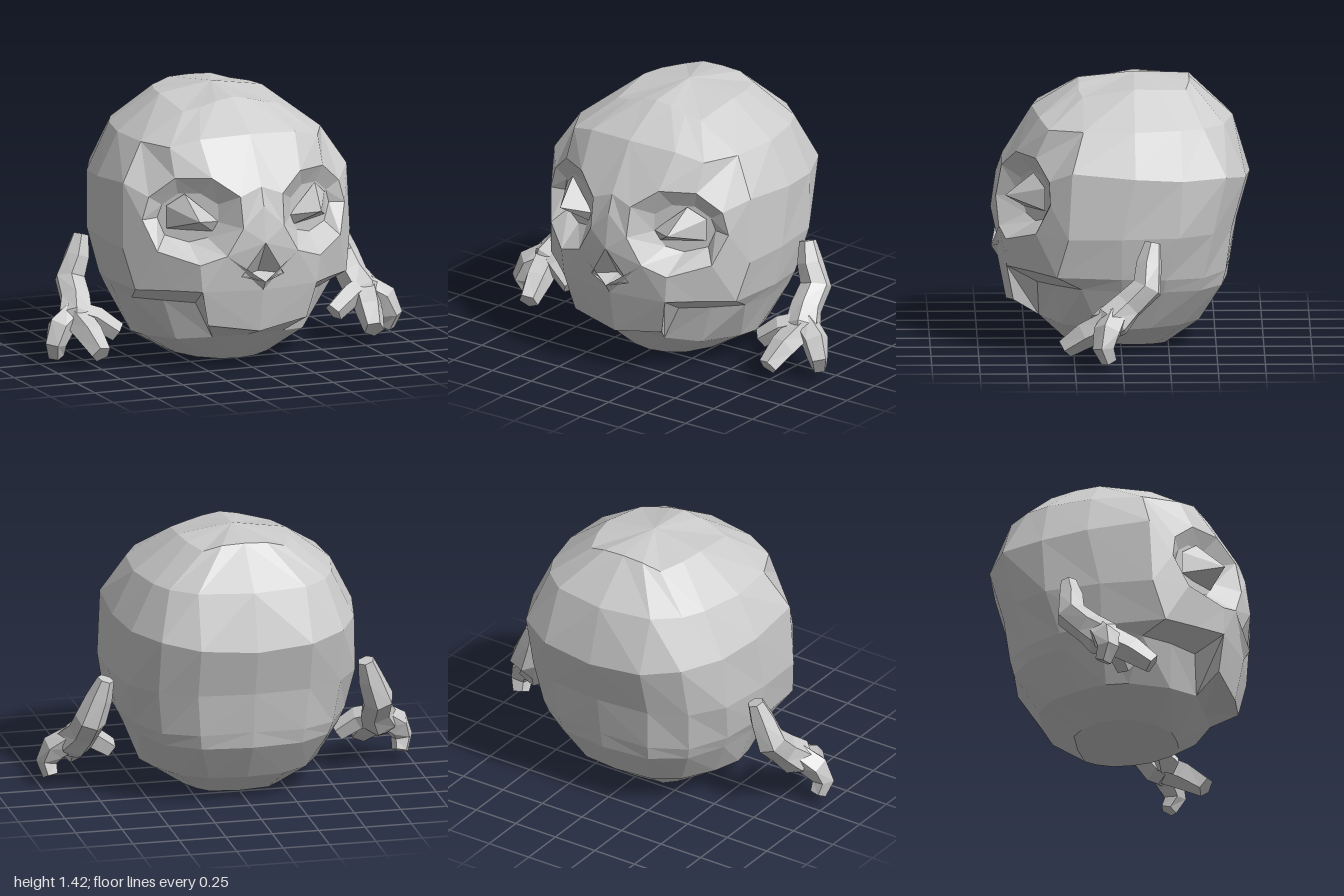
import * as THREE from 'three';

const material = new THREE.MeshStandardMaterial({ color: 0xcccccc, flatShading: true });
const repeat = (p, n) => Array(n).fill(p);

// Collects strips on the +x half and mirrors every triangle to the -x half.
class HalfMesh {
  constructor() { this.data = []; }
  tri(a, b, c) {
    const [A, B, C] = [a, b, c].map((p) => new THREE.Vector3(...p));
    if (new THREE.Triangle(A, B, C).getArea() < 1e-6) return;
    const flip = (p) => [-p[0], p[1], p[2]];
    this.data.push(...a, ...b, ...c, ...flip(a), ...flip(c), ...flip(b));
  }
  strip(a, b) {
    for (let i = 0; i < a.length - 1; i++) {
      this.tri(a[i], a[i + 1], b[i + 1]);
      this.tri(a[i], b[i + 1], b[i]);
    }
  }
  loft(rows) {
    for (let i = 0; i < rows.length - 1; i++) this.strip(rows[i], rows[i + 1]);
  }
  // Faceted tube through [x, y, z, radius] stations, capped at both ends.
  limb(stations, sides = 6) {
    const pts = stations.map((s) => new THREE.Vector3(s[0], s[1], s[2]));
    const rings = pts.map((p, i) => {
      const t = pts[Math.min(i + 1, pts.length - 1)].clone().sub(pts[Math.max(i - 1, 0)]).normalize();
      const u = new THREE.Vector3(0.3, 0.1, 1).cross(t).normalize();
      const v = t.clone().cross(u);
      return Array.from({ length: sides + 1 }, (_, k) => {
        const ang = ((k % sides) / sides) * Math.PI * 2 + 0.5, r = stations[i][3];
        return p.clone().addScaledVector(u, Math.cos(ang) * r).addScaledVector(v, Math.sin(ang) * r).toArray();
      });
    });
    const cap = (i) => repeat(pts[i].toArray(), sides + 1);
    this.loft([cap(0), ...rings, cap(pts.length - 1)]);
  }
  mesh(name) {
    const g = new THREE.BufferGeometry();
    g.setAttribute('position', new THREE.Float32BufferAttribute(this.data, 3));
    g.computeVertexNormals();
    const m = new THREE.Mesh(g, material);
    m.name = name;
    return m;
  }
}

// Half rings of the skull, each running from the back centre round the side to the front.
const crown = [[0, 1.405, -.36], [.12, 1.4, -.36], [.22, 1.37, -.34], [.27, 1.38, -.2], [.29, 1.385, -.07],
  [.27, 1.34, .2], [.18, 1.36, .22], [.09, 1.385, .22], [0, 1.4, .22]];
const brow = [[0, 1.2, -.59], [.29, 1.2, -.54], [.42, 1.2, -.43], [.48, 1.2, -.31], [.53, 1.2, -.07],
  [.51, 1.2, .2], [.42, 1.195, .38], [.27, 1.235, .43], [0, 1.25, .465]];
const temple = [[0, .9, -.68], [.3, .92, -.655], [.49, .95, -.55], [.6, .95, -.32], [.645, .97, -.07], [.635, 1, .26]];
const cheek = [[0, .65, -.61], [.3, .65, -.58], [.49, .65, -.48], [.61, .65, -.3], [.65, .65, 0], [.645, .65, .28]];
const cheekEdge = [[0, .43, -.575], [.28, .42, -.55], [.46, .41, -.43], [.57, .42, -.23], [.61, .43, 0], [.6, .44, .34]];
const jawTop = [[0, .34, -.56], [.27, .34, -.53], [.44, .34, -.41], [.54, .35, -.22], [.575, .36, 0],
  [.565, .37, .21], [.44, .37, .34], [.3, .365, .44]];
const jawLow = [[0, .14, -.43], [.2, .14, -.41], [.34, .14, -.32], [.44, .14, -.15], [.485, .14, 0],
  [.47, .145, .12], [.36, .15, .32], [.2, .17, .43], [0, .165, .43]];
const chin = [[0, .005, -.24], [.16, .01, -.23], [.22, .015, -.18], [.27, .02, -.1], [.285, .025, 0],
  [.27, .025, .1], [.2, .02, .22], [.1, .015, .28], [0, .01, .29]];

// Eye rim, clockwise from the upper inner corner.
const rim = [[.25, 1.05, .55], [.42, 1.045, .45], [.54, .94, .38], [.575, .82, .375], [.52, .66, .45],
  [.34, .6, .605], [.2, .645, .64], [.115, .79, .655], [.12, .955, .625]];
const [rI, rH, rG, rF, rE, rD, rC, rB, rA] = rim;

// Mouth corner and nose landmarks.
const lipSide = [.45, .45, .48], lipCorner = [.325, .455, .6], lipMid = [0, .45, .645];
const muzzleCorner = [.28, .265, .565], muzzleMid = [0, .22, .6];
const noseTop = [0, .71, .682], noseWing = [.12, .53, .64], noseLip = [0, .5, .678], noseBack = [0, .54, .57];

function buildSkull() {
  const s = new HalfMesh();
  s.loft([repeat([0, 1.43, -.07], 9), crown, brow]);
  s.loft([brow.slice(0, 6), temple, cheek, cheekEdge, jawTop.slice(0, 6)]);
  return s.mesh('skull');
}

function buildJaw() {
  const s = new HalfMesh();
  s.strip(jawTop, jawLow.slice(0, 8));
  s.loft([jawLow, chin, repeat([0, .005, 0], 9)]);
  return s.mesh('jaw');
}

function buildFace() {
  const s = new HalfMesh();
  // Skin between the eye rim and the edges of the face.
  const pairs = [[rI, brow[8]], [rI, brow[7]], [rH, brow[6]], [rG, brow[5]], [rG, temple[5]], [rF, temple[5]],
    [rF, cheek[5]], [rE, cheek[5]], [rE, cheekEdge[5]], [rD, lipSide], [rD, lipCorner], [rC, lipCorner],
    [rC, lipMid], [rC, noseLip], [rC, noseWing], [rB, noseTop], [rB, [0, .9, .655]], [rA, [0, 1, .62]],
    [rA, brow[8]], [rI, brow[8]]];
  s.strip(pairs.map((p) => p[0]), pairs.map((p) => p[1]));
  // Upper lip and the ledge stepping back to the jaw.
  s.strip([lipCorner, lipMid], [muzzleCorner, muzzleMid]);
  s.strip([cheekEdge[5], lipSide, lipCorner, muzzleCorner, muzzleMid],
    [jawTop[5], jawTop[6], jawTop[7], jawLow[7], jawLow[8]]);
  return s.mesh('face');
}

function buildNose() {
  const s = new HalfMesh();
  s.strip(repeat(noseBack, 3), [noseTop, noseWing, noseLip]);
  return s.mesh('noseHollow');
}

function buildSockets() {
  const s = new HalfMesh();
  const floorZ = (x) => .45 - .55 * (x - .34);
  const inner = rim.map(([x, y]) => {
    const ix = .345 + (x - .345) * .62;
    return [ix, .83 + (y - .83) * .58, floorZ(ix)];
  });
  const close = (r) => [...r, r[0]];
  s.loft([repeat([.345, .83, floorZ(.345)], 10), close(inner), close(rim)]);
  return s.mesh('eyeSockets');
}

function buildEyes() {
  const s = new HalfMesh();
  const base = [[.37, .96, .46], [.45, .89, .4], [.45, .77, .4], [.22, .75, .5], [.2, .81, .52], [.37, .96, .46]];
  s.strip(repeat([.345, .835, .61], 6), base);
  return s.mesh('eyes');
}

function buildArms() {
  const s = new HalfMesh();
  s.limb([[.7, .645, -.16, .045], [.73, .54, -.14, .07], [.775, .42, -.13, .085], [.785, .33, -.03, .085],
    [.82, .25, .05, .1], [.83, .2, .09, .07]]);
  return s.mesh('arms');
}

function buildFingers() {
  const s = new HalfMesh();
  s.limb([[.83, .27, .04, .07], [.92, .21, .08, .075], [.955, .13, .1, .06], [.94, .06, .07, .045]], 5);
  s.limb([[.82, .25, .06, .08], [.795, .18, .19, .075], [.775, .1, .3, .055]], 5);
  s.limb([[.82, .28, .04, .06], [.72, .245, .1, .065], [.615, .17, .13, .055]], 5);
  return s.mesh('fingers');
}

export function createModel() {
  const model = new THREE.Group();
  model.name = 'skullCreature';
  model.add(buildSkull(), buildJaw(), buildFace(), buildNose(), buildSockets(), buildEyes(), buildArms(), buildFingers());
  return model;
}
